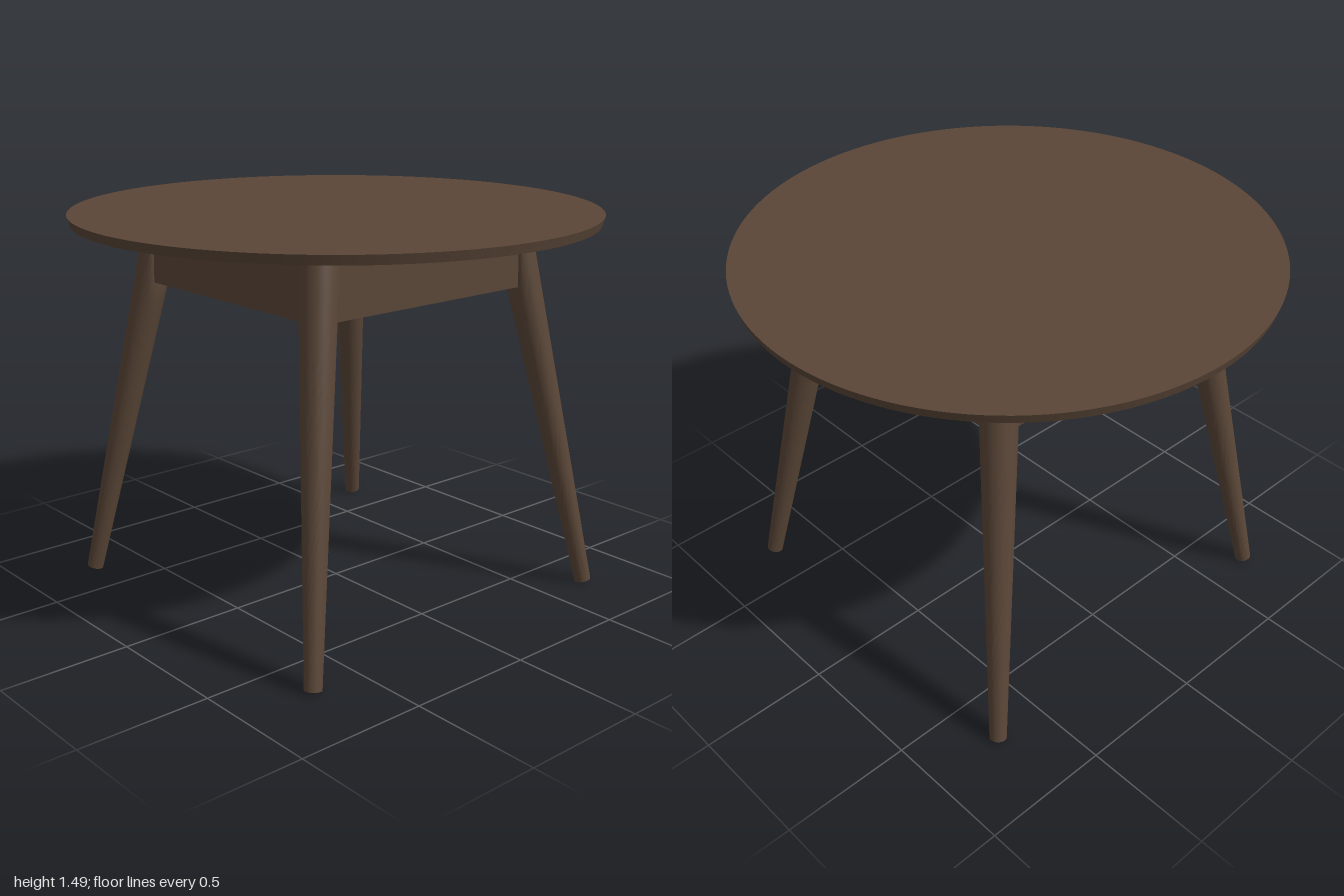
import * as THREE from 'three';
import { toCreasedNormals } from 'three/addons/utils/BufferGeometryUtils.js';

const TOP_UNDERSIDE = 1.46;

// Tapered splayed leg, trimmed flat on its two inner sides where the aprons join
function legGeometry(sx, sz) {
  const foot = new THREE.Vector3(0.7 * sx, 0.008, 0.706 * sz);
  const head = new THREE.Vector3(0.457 * sx, 1.467, 0.468 * sz);
  const axis = head.clone().sub(foot);
  const geometry = new THREE.CylinderGeometry(0.072, 0.032, axis.length(), 40, 40);
  geometry.applyQuaternion(new THREE.Quaternion().setFromUnitVectors(
    new THREE.Vector3(0, 1, 0), axis.clone().normalize()));
  const middle = foot.clone().add(head).multiplyScalar(0.5);
  geometry.translate(middle.x, middle.y, middle.z);

  const p = geometry.attributes.position;
  for (let i = 0; i < p.count; i++) {
    const lean = (TOP_UNDERSIDE - p.getY(i)) * 0.04;
    p.setX(i, sx * Math.max(sx * p.getX(i), 0.434 + lean));
    p.setZ(i, sz * Math.max(sz * p.getZ(i), 0.443 + lean));
  }
  return toCreasedNormals(geometry, 0.6);
}

export function createModel() {
  const table = new THREE.Group();
  table.name = 'roundTable';
  const wood = new THREE.MeshStandardMaterial({ color: 0x5a4637 });
  wood.name = 'dark walnut';

  function add(name, geometry, x = 0, y = 0, z = 0) {
    const mesh = new THREE.Mesh(geometry, wood);
    mesh.name = name;
    mesh.position.set(x, y, z);
    table.add(mesh);
  }

  // Thin round top, its edge drawn in slightly towards the underside
  const top = new THREE.CylinderGeometry(1, 0.99, 0.035, 128);
  add('tableTop', top, 0, TOP_UNDERSIDE + 0.0175, 0);

  // Four legs
  for (const sx of [1, -1]) {
    for (const sz of [1, -1]) {
      add(`${sz > 0 ? 'front' : 'back'}${sx > 0 ? 'Left' : 'Right'}Leg`, legGeometry(sx, sz));
    }
  }

  // Four apron boards between the legs
  const height = 0.25;
  const y = TOP_UNDERSIDE - height / 2;
  for (const s of [1, -1]) {
    add(s > 0 ? 'frontApron' : 'backApron', new THREE.BoxGeometry(0.9, height, 0.065), 0, y, s * 0.501);
    add(s > 0 ? 'leftApron' : 'rightApron', new THREE.BoxGeometry(0.065, height, 0.92), s * 0.49, y, 0);
  }
  return table;
}
